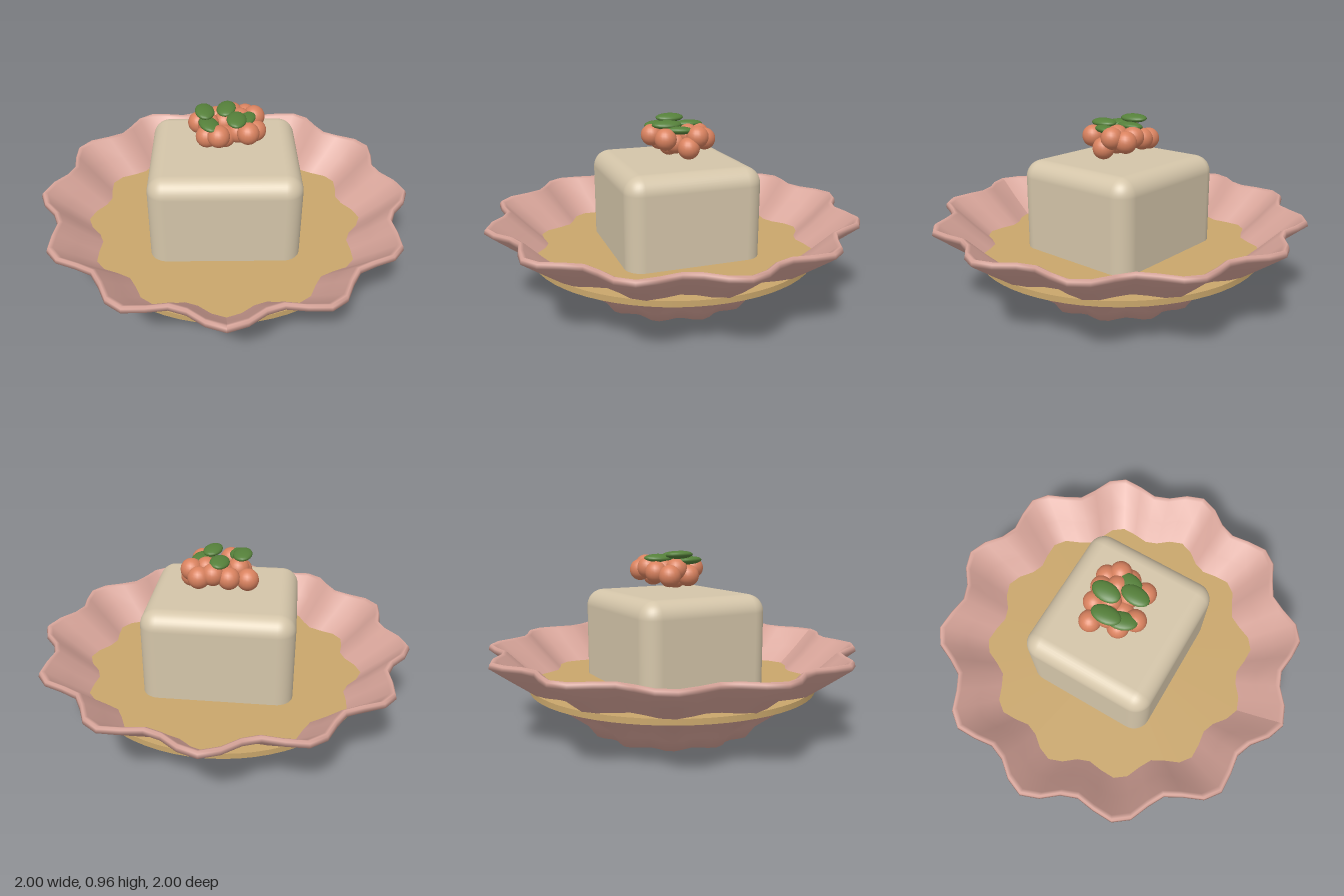
import * as THREE from 'three';
import { RoundedBoxGeometry } from 'three/addons/geometries/RoundedBoxGeometry.js';

const mat = (name, color, side = THREE.FrontSide) => {
  const m = new THREE.MeshStandardMaterial({ color, side });
  m.name = name;
  return m;
};

const part = (parent, name, geometry, material, x = 0, y = 0, z = 0) => {
  const mesh = new THREE.Mesh(geometry, material);
  mesh.name = name;
  mesh.position.set(x, y, z);
  parent.add(mesh);
  return mesh;
};

// Lathe whose radius swells and shrinks in twelve lobes
function scallopedBowl() {
  const profile = [
    [0, 0], [0.25, 0], [0.45, 0], [0.5, 0.065], [0.63, 0.16], [0.77, 0.26], [0.89, 0.345],
    [1, 0.425], [0.995, 0.445], [0.985, 0.455], [0.965, 0.445],
    [0.865, 0.355], [0.757, 0.265], [0.6, 0.14], [0.46, 0.035], [0, 0.03],
  ].map(([r, y]) => new THREE.Vector2(r, y));
  const geo = new THREE.LatheGeometry(profile, 64);
  const p = geo.attributes.position;
  for (let i = 0; i < p.count; i++) {
    const angle = Math.atan2(p.getX(i), p.getZ(i));
    const k = 0.95 + 0.05 * Math.cos(12 * angle);
    p.setX(i, p.getX(i) * k);
    p.setZ(i, p.getZ(i) * k);
  }
  geo.computeVertexNormals();
  return geo;
}

export function createModel() {
  const group = new THREE.Group();
  group.name = 'dessertBowl';
  const pink = mat('dusty pink glaze', 0xd8a59a, THREE.DoubleSide);
  const caramel = mat('caramel', 0xc9a66b);
  const cream = mat('cream', 0xd4c5a9);
  const coral = mat('coral berry', 0xd9825f);
  const green = mat('leaf green', 0x55803a);

  // Bowl with a round pool of sauce that cuts through the flutes
  part(group, 'bowl', scallopedBowl(), pink);
  part(group, 'sauce', new THREE.CylinderGeometry(0.77, 0.77, 0.03, 64), caramel, 0, 0.25, 0);

  // Soft-edged block of pudding
  part(group, 'pudding', new RoundedBoxGeometry(0.78, 0.57, 0.72, 5, 0.09), cream, 0, 0.455, 0);

  // Cluster of berries
  const berries = new THREE.Group();
  berries.name = 'berries';
  group.add(berries);
  const berryGeo = new THREE.SphereGeometry(0.057, 20, 14);
  [
    [-0.03, 0.865, 0.108], [0.118, 0.865, 0.08], [0.16, 0.82, -0.03], [0.153, 0.875, -0.08],
    [-0.133, 0.835, -0.09], [-0.04, 0.85, -0.12], [0.04, 0.87, -0.125], [0.11, 0.855, -0.135],
    [0.08, 0.875, -0.055], [-0.09, 0.83, 0.045], [0, 0.815, 0.02], [0.07, 0.835, 0.01],
    [0, 0.86, -0.05], [-0.08, 0.865, -0.02],
  ].forEach(([x, y, z]) => part(berries, 'berry', berryGeo, coral, x, y, z));

  // Flattened leaves: x, y, z, turn, roll
  const leaves = new THREE.Group();
  leaves.name = 'leaves';
  group.add(leaves);
  const leafGeo = new THREE.SphereGeometry(1, 20, 12).scale(0.05, 0.021, 0.078);
  [
    [-0.1, 0.94, -0.015, 0.05, -0.1], [0.01, 0.92, -0.08, -0.08, 0.1],
    [0.06, 0.93, 0.055, -0.1, -0.08], [-0.078, 0.908, 0.06, 0.3, -0.1],
    [0.105, 0.905, 0.005, -0.4, 0.1],
  ].forEach(([x, y, z, turn, roll]) => {
    part(leaves, 'leaf', leafGeo, green, x, y, z).rotation.set(0, turn, roll);
  });

  return group;
}
